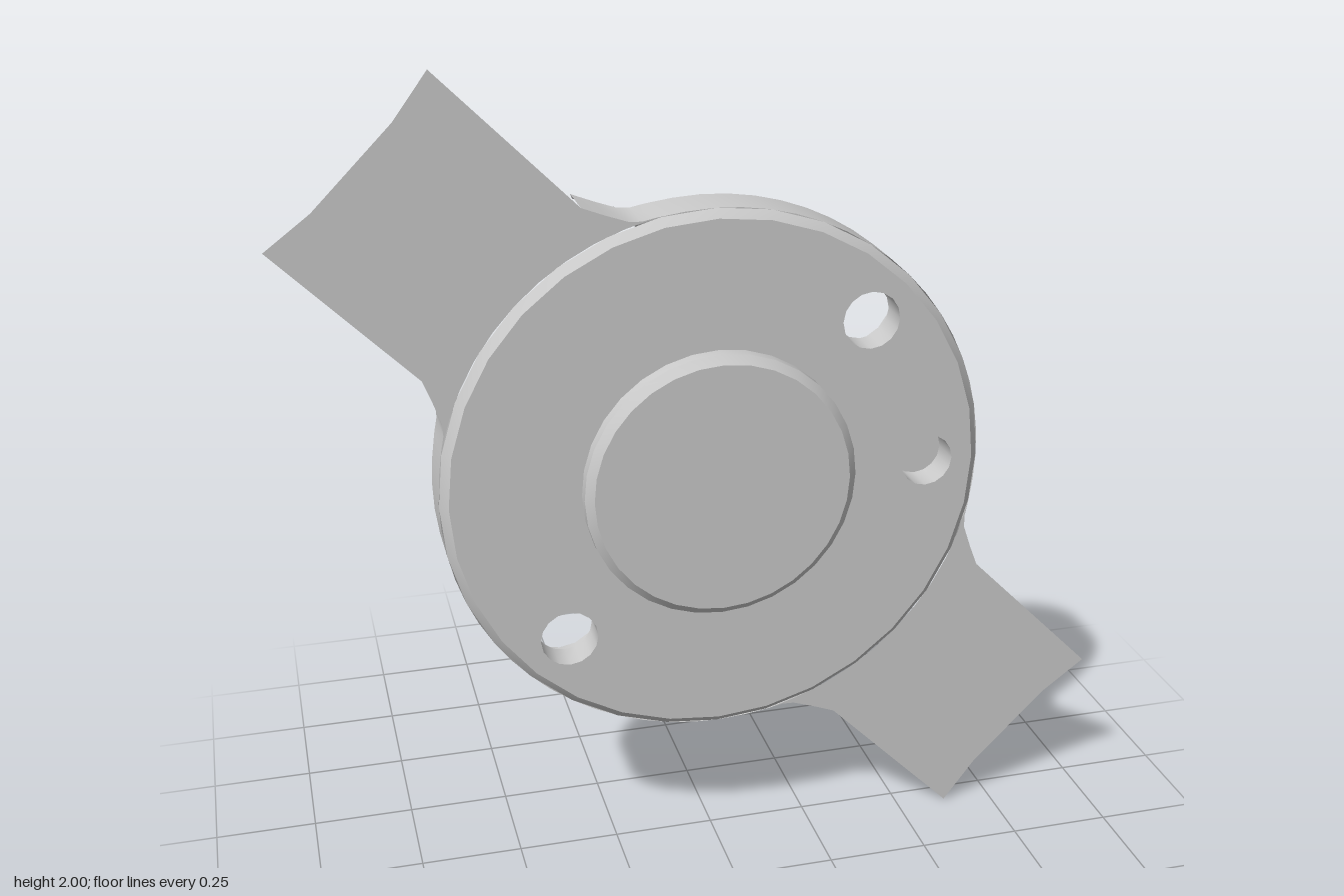
import * as THREE from 'three';
import { toCreasedNormals } from 'three/addons/utils/BufferGeometryUtils.js';

const SIDES = 32;
const R = 0.66;            // housing radius
const FRONT = 0.08, STRAP_Z = 0.06, BACK = -0.077;
const HALF = 0.262;        // half width of the strap

// Thin sheet-metal skins, so every surface is double sided
const material = new THREE.MeshStandardMaterial({ color: 0xcccccc, side: THREE.DoubleSide });

const rad = THREE.MathUtils.degToRad;
const polar = (r, a) => new THREE.Vector2(r * Math.cos(a), r * Math.sin(a));
const points2 = list => list.map(p => new THREE.Vector2(...p));

function arc(r, from, to, n) {
  return Array.from({ length: n + 1 }, (_, i) => polar(r, from + (to - from) * i / n));
}

function circle(r, x = 0, y = 0, n = SIDES) {
  return arc(r, 0, Math.PI * 2, n).slice(0, n).map(p => p.add(new THREE.Vector2(x, y)));
}

function add(parent, name, geometry) {
  const mesh = new THREE.Mesh(geometry, material);
  mesh.name = name;
  parent.add(mesh);
  return mesh;
}

// Flat plate at depth z
function plate(points, z, holes = []) {
  const shape = new THREE.Shape(points);
  holes.forEach(h => shape.holes.push(new THREE.Path(h)));
  return new THREE.ShapeGeometry(shape).translate(0, 0, z);
}

// Surface of revolution about z from [radius, z] pairs
function turned(profile, sides = SIDES) {
  const g = new THREE.LatheGeometry(points2(profile), sides);
  return toCreasedNormals(g.rotateX(Math.PI / 2), rad(30));
}

// Skin through rows of equally many Vector3 points
function loft(rows) {
  const n = rows[0].length, index = [];
  for (let r = 0; r < rows.length - 1; r++) {
    for (let i = 0; i < n - 1; i++) {
      const a = r * n + i, b = a + n;
      index.push(a, a + 1, b, b, a + 1, b + 1);
    }
  }
  const g = new THREE.BufferGeometry().setFromPoints(rows.flat());
  g.setIndex(index);
  g.computeVertexNormals();
  return toCreasedNormals(g, rad(35));
}

const at = (points, z) => points.map(p => new THREE.Vector3(p.x, p.y, z));

// Flare blending the round wall into the strap edge
const flare = points2([[0.70, HALF], [0.648, 0.285], [0.597, 0.31], [0.575, 0.33], [0.555, 0.36]]);
const mirrorX = list => list.map(p => new THREE.Vector2(-p.x, p.y)).reverse();
const mirrorY = list => list.map(p => new THREE.Vector2(p.x, -p.y)).reverse();

// One half of the housing: side wall, back plate, flange, screw seat and strap end
function createHalf() {
  const half = new THREE.Group();
  const joinAngle = Math.atan2(0.36, 0.555);

  // Wall outline: flare, arc, flare; bevelled into the back plate
  const wallArc = arc(R, joinAngle, Math.PI - joinAngle, 20).slice(1, -1);
  const outline = [...flare, ...wallArc, ...mirrorX(flare)];
  const inset = outline.map(p => p.clone().setLength(p.length() - 0.015));
  add(half, 'sideWall', loft([at(inset, BACK), at(outline, -0.066), at(outline, STRAP_Z)]));

  // Back plate with screw opening, cut back where the flange rises
  const cut = points2([[0.52, 0.37], [0.565, 0.30]]);
  add(half, 'backPlate', plate([...inset, ...mirrorX(cut), ...cut], BACK,
    [circle(0.105, 0, 0.523, 16)]));

  // Flange curving up out of the plate along the channel: [y, z, half length]
  const flange = [[0.37, BACK, 0.52], [0.34, -0.081, 0.54], [0.32, -0.092, 0.56],
    [0.308, -0.11, 0.575], [0.303, -0.13, 0.585]];
  add(half, 'channelFlange', loft(flange.map(([y, z, x]) =>
    [new THREE.Vector3(-x, y, z), new THREE.Vector3(x, y, z)])));

  // Counterbored screw seat
  add(half, 'screwSeat', turned([[0.105, BACK], [0.105, 0], [0.07, 0], [0.07, FRONT]], 16))
    .position.y = 0.523;

  // Flat strap end with slightly hollow tip
  const edge = [...points2([[1.131, 0.13], [1.15, HALF]]), ...flare];
  const inner = arc(R, joinAngle, -joinAngle, 10).slice(1, -1);
  add(half, 'strapEnd', plate([...edge, ...inner, ...mirrorY(edge)], STRAP_Z));
  return half;
}

export function createModel() {
  const model = new THREE.Group();
  model.name = 'strapHousing';
  const body = new THREE.Group();
  body.name = 'housing';
  body.rotation.z = -Math.PI / 4;
  body.position.y = 1;
  model.add(body);

  for (let i = 0; i < 2; i++) {
    const half = createHalf();
    half.name = i ? 'lowerHalf' : 'upperHalf';
    half.rotation.z = i * Math.PI;
    body.add(half);
  }

  // Front face with two screw holes and one blind hole
  const pin = 0.37;
  add(body, 'frontFace', plate(circle(0.64), FRONT, [
    circle(0.33), circle(0.07, 0, 0.523, 16), circle(0.07, 0, -0.523, 16), circle(0.065, pin, pin, 16),
  ]));
  add(body, 'frontChamfer', turned([[0.64, FRONT], [R, STRAP_Z]]));

  // Hollow round boss
  add(body, 'centreBoss', turned([[0.33, FRONT], [0.33, 0.112], [0.31, 0.13], [0, 0.13]]));

  // Blind locating hole
  add(body, 'blindHole', turned([[0.065, FRONT], [0.065, 0], [0, 0]], 16)).position.set(pin, pin, 0);

  return model;
}
